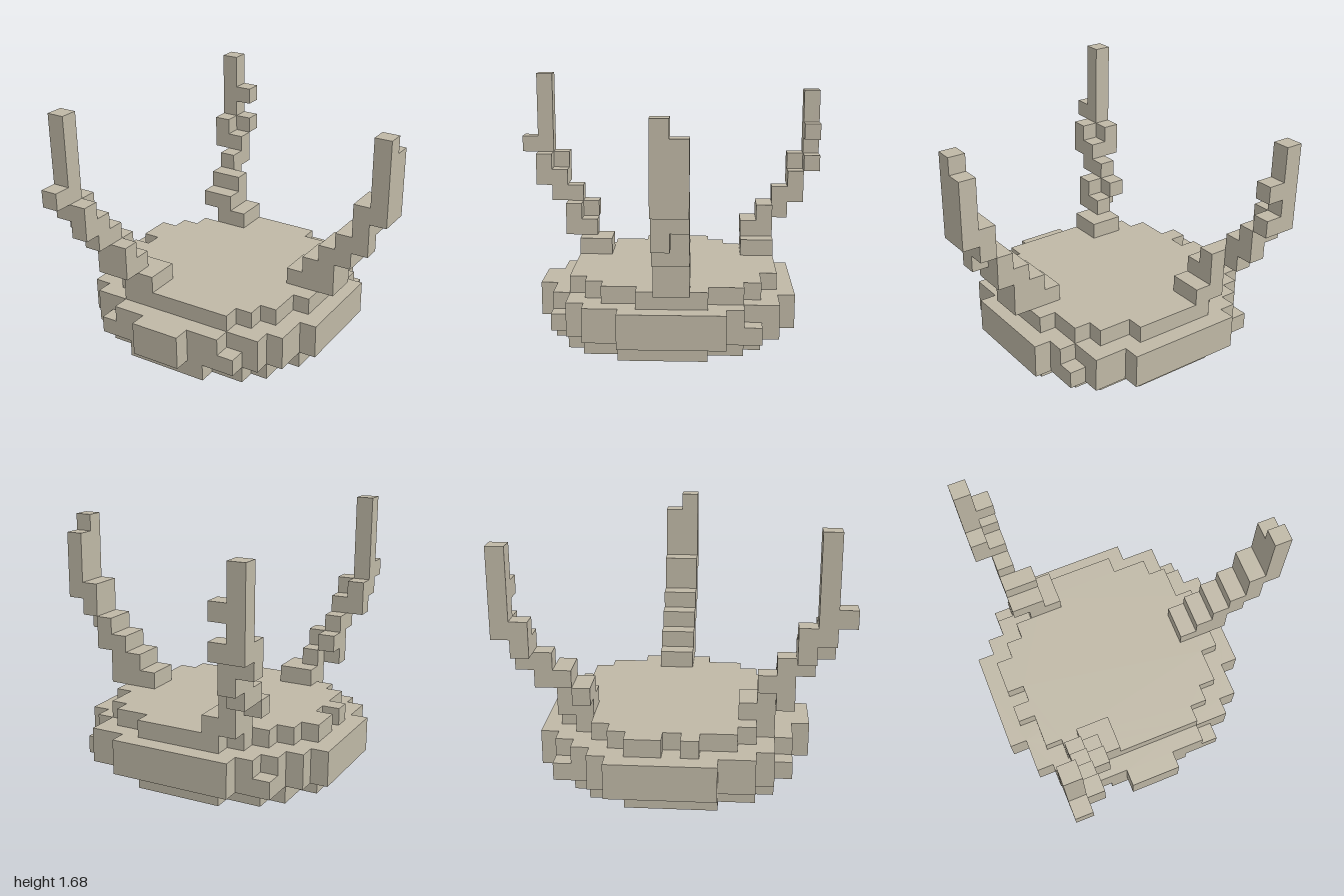
import * as THREE from 'three';
import { mergeGeometries } from 'three/addons/utils/BufferGeometryUtils.js';

// Everything sits on a cubic grid: 18 cells wide, 16 high, 19 deep.
const U = 2 / 19;
const X = (i) => (i - 9) * U;
const Z = (k) => (k - 9.5) * U;

// Solid layer from row spans [firstX, endX], starting at grid row k0.
function slab(j, k0, rows) {
  const pts = [];
  rows.forEach(([, b], n) => pts.push([b, k0 + n], [b, k0 + n + 1]));
  rows.map((r, n) => [r[0], n]).reverse()
    .forEach(([a, n]) => pts.push([a, k0 + n + 1], [a, k0 + n]));
  const unique = pts.filter((p, n) => n === 0 || p[0] !== pts[n - 1][0] || p[1] !== pts[n - 1][1]);
  const shape = new THREE.Shape(unique.map(([i, k]) => new THREE.Vector2(X(i), -Z(k))));
  const geo = new THREE.ExtrudeGeometry(shape, { depth: U, bevelEnabled: false });
  return geo.rotateX(-Math.PI / 2).translate(0, j * U, 0);
}

// Block covering grid cells from (i, j, k) with a size in cells.
function block([i, j, k, w = 1, h = 1, d = 1]) {
  return new THREE.BoxGeometry(w * U, h * U, d * U)
    .translate(X(i + w / 2), (j + h / 2) * U, Z(k + d / 2));
}

export function createModel() {
  const group = new THREE.Group();
  const stone = new THREE.MeshStandardMaterial({ color: 0xbfb8a6 });
  stone.name = 'stone';

  const add = (name, geo) => {
    const mesh = new THREE.Mesh(geo, stone);
    mesh.name = name;
    group.add(mesh);
  };

  // Stepped round base, from the foot to the top plate
  add('foot', slab(0, 6, [[5, 10], [4, 11], [4, 11], [4, 11], [4, 11], [5, 10], [6, 9]]));
  add('lowerPlate', slab(1, 3, [
    [5, 10], [3, 12], [2, 13], [2, 13], [1, 14], [1, 14], [1, 14],
    [1, 14], [1, 14], [2, 13], [2, 13], [3, 12], [5, 10],
  ]));
  const wide = Array.from({ length: 6 }, () => [0, 15]);
  add('lowerRim', slab(2, 2, [
    [4, 11], [2, 13], [2, 14], [1, 14], ...wide,
    [1, 14], [1, 14], [2, 13], [3, 12], [6, 9],
  ]));
  add('upperRim', slab(3, 2, [
    [4, 11], [3, 13], [2, 13], [1, 14], ...wide,
    [1, 14], [1, 14], [2, 13], [4, 11], [6, 9],
  ]));
  add('topPlate', slab(4, 3, [
    [5, 10], [4, 12], [3, 13], [2, 13], [1, 14], [1, 14], [2, 14],
    [1, 14], [2, 13], [2, 13], [3, 12], [4, 11],
  ]));

  // Three stepped prongs, each block as x, y, z and size
  const prongs = {
    leftProng: [
      [12, 5, 8, 3, 1, 2], [13, 6, 8, 2, 1, 2], [14, 7, 8, 2, 1, 2],
      [15, 8, 8, 1, 1, 1], [15, 8, 9, 2, 1, 1], [16, 9, 8, 1, 1, 2],
      [16, 10, 8, 2, 1, 2], [17, 11, 8, 1, 3, 1], [17, 11, 9, 1, 4, 1],
    ],
    backProng: [
      [4, 5, 3, 2, 1, 2], [4, 6, 3, 1, 1, 2], [3, 6, 4],
      [3, 7, 3, 2, 1, 1], [3, 7, 2], [3, 8, 1, 1, 1, 2],
      [2, 9, 1, 2, 1, 1], [2, 10, 0, 1, 1, 2], [3, 10, 0],
      [2, 11, 0, 1, 4, 1], [3, 12, 0],
    ],
    frontProng: [
      [4, 5, 13, 2, 1, 2], [3, 6, 15, 2, 2, 1], [4, 6, 14], [3, 7, 14],
      [3, 8, 15, 1, 1, 2], [3, 9, 16, 1, 1, 2], [2, 9, 16],
      [2, 10, 17, 2, 1, 1], [2, 10, 16], [2, 11, 17, 1, 5, 1], [2, 11, 18],
    ],
  };
  for (const [name, blocks] of Object.entries(prongs)) {
    add(name, mergeGeometries(blocks.map(block)));
  }

  return group;
}
